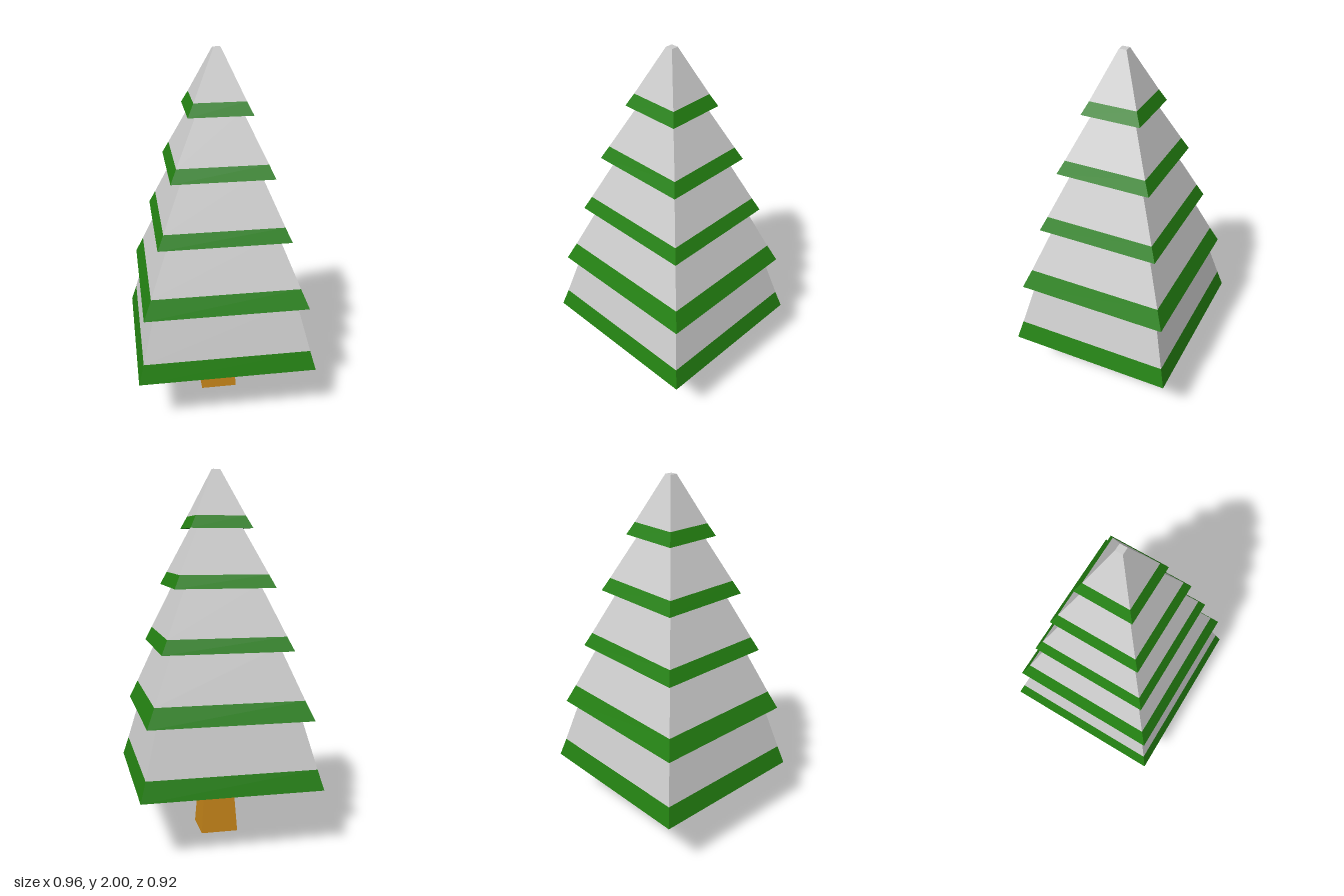
import * as THREE from 'three';

const material = (color) => new THREE.MeshStandardMaterial({ color, flatShading: true });

// Four-sided band through rectangular rings [halfX, y, halfZ]; faces outward when rings go upward
function rectBand(rings) {
  const corners = [[1, 1], [1, -1], [-1, -1], [-1, 1]];
  const point = ([hx, y, hz], i) => [corners[i % 4][0] * hx, y, corners[i % 4][1] * hz];
  const pos = [];
  for (let r = 0; r < rings.length - 1; r++) {
    for (let i = 0; i < 4; i++) {
      const a = point(rings[r], i), b = point(rings[r], i + 1);
      const c = point(rings[r + 1], i + 1), d = point(rings[r + 1], i);
      pos.push(...a, ...b, ...c, ...a, ...c, ...d);
    }
  }
  const geo = new THREE.BufferGeometry();
  geo.setAttribute('position', new THREE.Float32BufferAttribute(pos, 3));
  geo.computeVertexNormals();
  return geo;
}

export function createModel() {
  const tree = new THREE.Group();
  tree.name = 'snowyTree';
  const green = material(0x238011);
  const snow = material(0xcccccc);
  const wood = material(0xc58419);

  const add = (name, rings, mat, parent) => {
    const mesh = new THREE.Mesh(rectBand(rings), mat);
    mesh.name = name;
    parent.add(mesh);
  };

  // Tapered trunk, closed at the foot, running up into the hollow of the lowest tier
  add('trunk', [[0, 0, 0], [0.102, 0, 0.102], [0.072, 0.43, 0.068]], wood, tree);

  // Per tier: rim ring, snow line ring, top ring
  const tiers = [
    [[0.482, 0.328, 0.458], [0.452, 0.435, 0.43], [0.38, 0.71, 0.36]],
    [[0.44, 0.692, 0.417], [0.397, 0.795, 0.375], [0.287, 1.07, 0.27]],
    [[0.351, 1.05, 0.333], [0.317, 1.125, 0.3], [0.2, 1.395, 0.187]],
    [[0.27, 1.377, 0.257], [0.237, 1.447, 0.223], [0.117, 1.7, 0.11]],
    [[0.168, 1.687, 0.16], [0.135, 1.753, 0.128], [0.02, 2, 0.02]],
  ];

  let inner = [0.07, 0.42, 0.066]; // where the first underside meets the trunk
  tiers.forEach(([rim, line, top], i) => {
    const tier = new THREE.Group();
    tier.name = `tier${i + 1}`;
    add('underside', [inner, rim], green, tier);
    add('greenRim', [rim, line], green, tier);
    const last = i === tiers.length - 1;
    add('snow', last ? [line, top, [0, 2, 0]] : [line, top], snow, tier); // flat tip on the last
    tree.add(tier);
    inner = top;
  });

  return tree;
}
